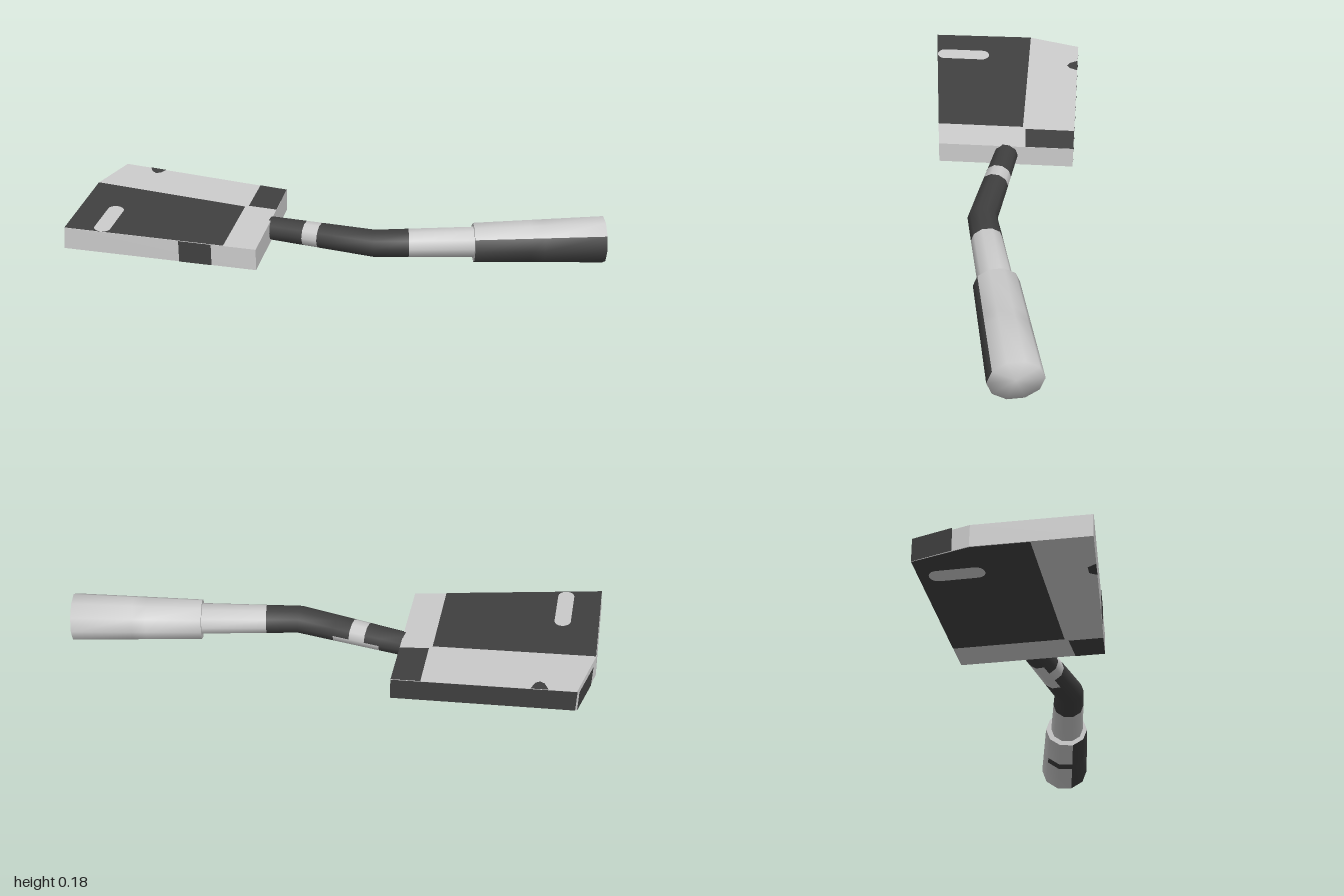
import * as THREE from 'three';

const light = new THREE.MeshStandardMaterial({ color: 0xcbcbcb });
light.name = 'light grey';
const dark = new THREE.MeshStandardMaterial({ color: 0x404040 });
dark.name = 'dark grey';

const THICK = 0.085;
const BASE = 0.027;
const SIDES = 10;

// The blade rises gently away from the handle
const rise = (x) => (-0.28 - x) * 0.091;
const slope = (geo) => {
  const p = geo.attributes.position;
  for (let i = 0; i < p.count; i++) p.setY(i, p.getY(i) + rise(p.getX(i)));
  geo.computeVertexNormals();
  return geo;
};

// Outline given as [x, z] pairs, drawn in the shape plane as (x, -z)
const outline = (pts) => new THREE.Shape(pts.map(([x, z]) => new THREE.Vector2(x, -z)));

function add(group, name, geo, mat) {
  const mesh = new THREE.Mesh(geo, mat);
  mesh.name = name;
  group.add(mesh);
}

// Painted face lying on the top or the underside of the blade
function paint(group, name, shape, mat, top) {
  const geo = new THREE.ShapeGeometry(shape, 8);
  geo.rotateX(top ? -Math.PI / 2 : Math.PI / 2);
  geo.translate(0, top ? BASE + THICK + 0.0015 : BASE - 0.0015, 0);
  add(group, name, slope(geo), mat);
}

// Painted face on the blade rim, running from a to b ([x, z])
function paintRim(group, name, a, b, mat) {
  const len = Math.hypot(b[0] - a[0], b[1] - a[1]);
  const nx = -(b[1] - a[1]) / len * 0.0015, nz = (b[0] - a[0]) / len * 0.0015;
  const geo = new THREE.BufferGeometry();
  const pos = [];
  for (const [x, z] of [a, b]) for (const y of [BASE, BASE + THICK]) pos.push(x + nx, y, z + nz);
  geo.setAttribute('position', new THREE.Float32BufferAttribute(pos, 3));
  geo.setIndex([0, 2, 1, 1, 2, 3]);
  add(group, name, slope(geo), mat);
}

function makeBlade() {
  const g = new THREE.Group();
  g.name = 'blade';
  const body = new THREE.ExtrudeGeometry(
    outline([[-0.94, -0.305], [-0.992, -0.1], [-0.985, 0.303], [-0.28, 0.225], [-0.28, -0.305]]),
    { depth: THICK, bevelEnabled: false });
  body.rotateX(-Math.PI / 2);
  body.translate(0, BASE, 0);
  // The underside reaches slightly further out at the tip
  const p = body.attributes.position;
  for (let i = 0; i < p.count; i++) {
    if (p.getX(i) < -0.9 && p.getY(i) < BASE + 0.01) p.setX(i, p.getX(i) - 0.007);
  }
  add(g, 'bladeBody', slope(body), light);

  // Top: large dark panel with a light slot, corner patch and notch
  const panel = outline([[-0.991, -0.1], [-0.985, 0.303], [-0.4, 0.238], [-0.4, -0.1]]);
  panel.holes.push(slot(-0.855, 0.07, 0.287));
  paint(g, 'topPanel', panel, dark, true);
  paint(g, 'topCornerPatch',
    outline([[-0.388, -0.305], [-0.388, -0.112], [-0.28, -0.118], [-0.28, -0.305]]), dark, true);
  paint(g, 'topNotch',
    outline([[-0.842, -0.305], [-0.825, -0.272], [-0.808, -0.262], [-0.792, -0.272], [-0.778, -0.305]]), dark, true);

  // Underside: the same pattern, flipped front to back
  const under = (pts) => new THREE.Shape(pts.map(([x, z]) => new THREE.Vector2(x, z)));
  const lower = under([[-0.948, -0.305], [-0.998, -0.1], [-0.995, 0.1], [-0.4, 0.1], [-0.4, -0.305]]);
  lower.holes.push(slot(-0.855, -0.27, -0.08));
  paint(g, 'undersidePanel', lower, dark, false);
  paint(g, 'undersideCornerPatch',
    under([[-0.388, 0.112], [-0.388, 0.236], [-0.28, 0.225], [-0.28, 0.118]]), dark, false);
  paint(g, 'undersideNotch',
    under([[-0.842, 0.286], [-0.825, 0.255], [-0.792, 0.255], [-0.778, 0.28]]), dark, false);

  // Rim: front stripe, back edge and part of the tip bevel
  paintRim(g, 'frontStripe', [-0.565, 0.2565], [-0.445, 0.2433], dark);
  paintRim(g, 'backRim', [-0.28, -0.305], [-0.942, -0.305], dark);
  paintRim(g, 'tipRim', [-0.947, -0.305], [-0.985, -0.16], dark);
  return g;

  // Rounded slot between two values of z, in the plane of either face
  function slot(x, z0, z1) {
    const s = z0 > 0 ? -1 : 1, r = 0.03;
    const lo = Math.min(s * z0, s * z1) + r, hi = Math.max(s * z0, s * z1) - r;
    const path = new THREE.Path();
    path.absarc(x, hi, r, 0, Math.PI, false);
    path.absarc(x, lo, r, Math.PI, Math.PI * 2, false);
    path.closePath();
    return path;
  }
}

// Skin ten-sided oval rings [x, y, z, halfWidth, halfHeight, slope in plan];
// isDark(segment, side) picks the colour of each facet
function loft(rings, isDark) {
  const pos = [], idx = [[], []];
  const addRing = ([x, y, z, w, h, s]) => {
    const l = Math.hypot(1, s);
    for (let j = 0; j < SIDES; j++) {
      const a = (j + 0.5) * Math.PI * 2 / SIDES;
      const u = Math.sin(a) * w;
      pos.push(x - u * s / l, y + Math.cos(a) * h, z + u / l);
    }
  };
  rings.forEach(addRing);
  const last = rings.length - 1;
  for (let i = 0; i < last; i++) {
    for (let j = 0; j < SIDES; j++) {
      const k = (j + 1) % SIDES, a = i * SIDES, b = a + SIDES;
      idx[isDark(i, j) ? 1 : 0].push(a + j, a + k, b + j, a + k, b + k, b + j);
    }
  }
  // Soft far end, sharp near end
  const end = pos.length / 3;
  pos.push(...rings[last].slice(0, 3), ...rings[0].slice(0, 3));
  addRing(rings[0]);
  for (let j = 0; j < SIDES; j++) {
    const k = (j + 1) % SIDES;
    idx[0].push(last * SIDES + j, last * SIDES + k, end);
    idx[0].push(end + 2 + k, end + 2 + j, end + 1);
  }
  const geo = new THREE.BufferGeometry();
  geo.setAttribute('position', new THREE.Float32BufferAttribute(pos, 3));
  geo.setIndex([...idx[0], ...idx[1]]);
  geo.addGroup(0, idx[0].length, 0);
  geo.addGroup(idx[0].length, idx[1].length, 1);
  geo.computeVertexNormals();
  return geo;
}

function makeHandle() {
  const g = new THREE.Group();
  g.name = 'handle';

  // Bent shaft with light and dark bands
  const bend = 0.13;
  const shaft = [-0.285, -0.2, -0.143, -0.083, -0.02, bend, 0.255, 0.505].map((x) => {
    const t = (x + 0.285) / 0.79;
    const z = x <= bend ? 0.02 + (x - bend) * 0.146 : 0.02 - (x - bend) * 0.208;
    const s = x < bend ? 0.146 : x > bend ? -0.208 : -0.03;
    return [x, 0.072 + 0.005 * t, z, 0.047 + 0.018 * t, 0.045 + 0.012 * t, s];
  });
  const underBack = (j) => j === 4 || j === 5 || j === 6;
  add(g, 'shaft', loft(shaft, (i, j) =>
    !(i === 2 || i === 6 || (underBack(j) && (i === 1 || i === 3)))), [light, dark]);

  // Wider grip, dark along its front, with a small mark underneath
  const grip = [0.495, 0.7, 0.75, 0.975].map((x) => {
    const t = (x - 0.495) / 0.48;
    return [x, 0.074 + 0.009 * t, -0.058 - 0.098 * t, 0.084 + 0.014 * t, 0.073 + 0.014 * t, -0.205];
  });
  add(g, 'grip', loft(grip, (i, j) =>
    (j >= 1 && j <= 3) || (i === 1 && (j === 4 || j === 5))), [light, dark]);
  return g;
}

export function createModel() {
  const model = new THREE.Group();
  model.name = 'spatula';
  model.add(makeBlade(), makeHandle());
  return model;
}
